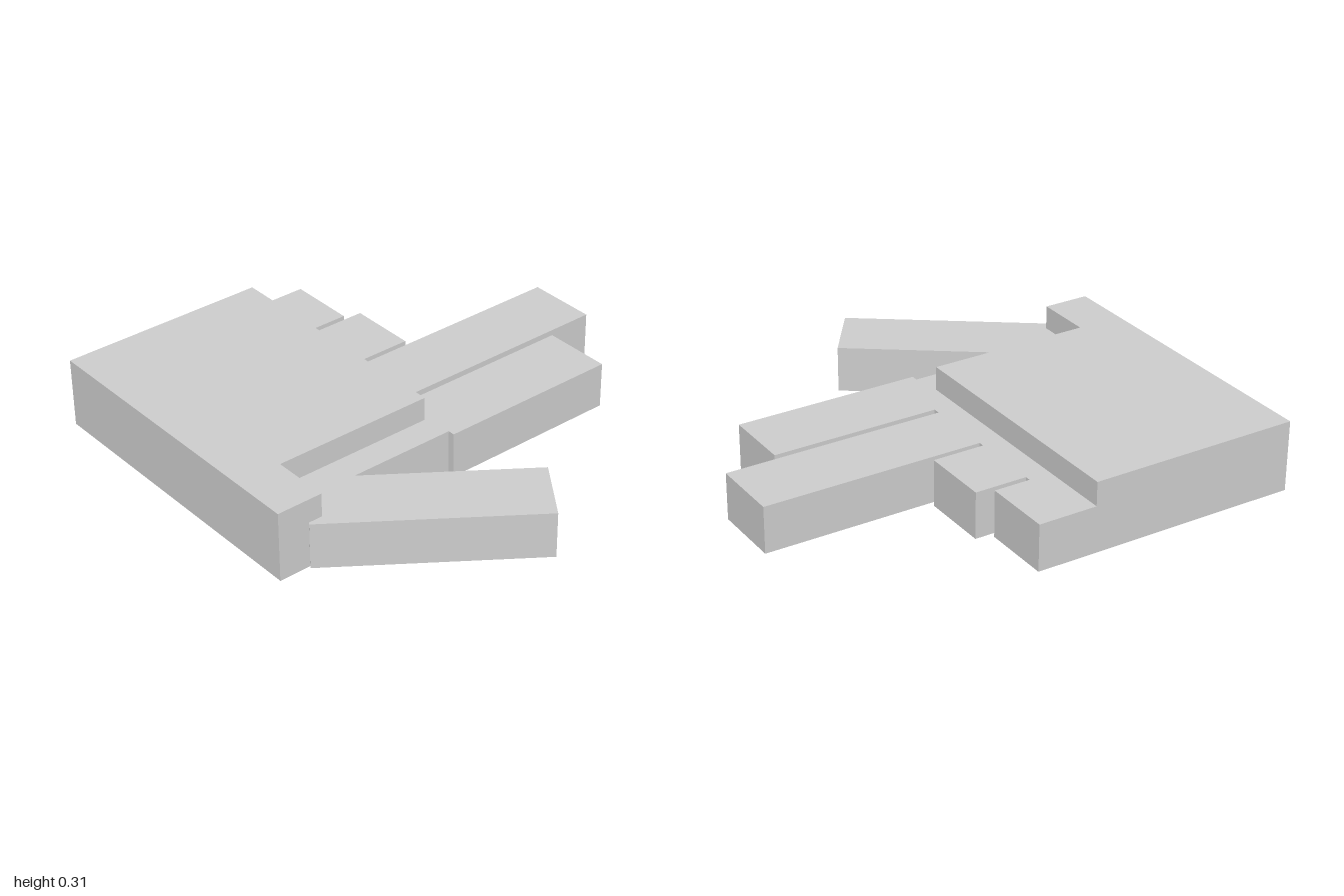
import * as THREE from 'three';

const LOW = 0.205;  // height of palm and fingers
const HIGH = 0.31;  // height of the raised back of the hand

export function createModel() {
  const group = new THREE.Group();
  const material = new THREE.MeshStandardMaterial({ color: 0xcccccc, flatShading: true });

  const add = (name, geometry) => {
    const mesh = new THREE.Mesh(geometry, material);
    mesh.name = name;
    group.add(mesh);
    return mesh;
  };

  // Block standing on the ground, given by its x and z limits
  const block = (name, x0, x1, z0, z1) =>
    add(name, new THREE.BoxGeometry(x1 - x0, LOW, z1 - z0))
      .position.set((x0 + x1) / 2, LOW / 2, (z0 + z1) / 2);

  // Palm and the four fingers pointing back
  block('palm', -0.985, 0.29, -0.03, 0.9);
  block('littleFinger', -0.985, -0.68, -0.19, -0.03);
  block('ringFinger', -0.655, -0.35, -0.26, -0.03);
  block('middleFinger', -0.325, -0.015, -1, -0.03);
  block('indexFinger', 0.015, 0.32, -0.77, 0.05);

  // Slanted thumb
  const thumb = add('thumb', new THREE.BoxGeometry(0.308, LOW, 0.942));
  thumb.position.set(0.58, LOW / 2, 0.392);
  thumb.rotation.y = -0.623;

  // Raised L-shaped slab with a heel reaching towards the thumb
  const outline = new THREE.Shape([
    [-0.985, -1], [0.42, -1], [0.42, -0.795],
    [0.165, -0.795], [0.165, -0.07], [-0.985, -0.07],
  ].map(([x, y]) => new THREE.Vector2(x, y)));
  const slab = new THREE.ExtrudeGeometry(outline, { depth: HIGH, bevelEnabled: false });
  slab.rotateX(-Math.PI / 2);
  add('raisedSlab', slab);

  return group;
}
